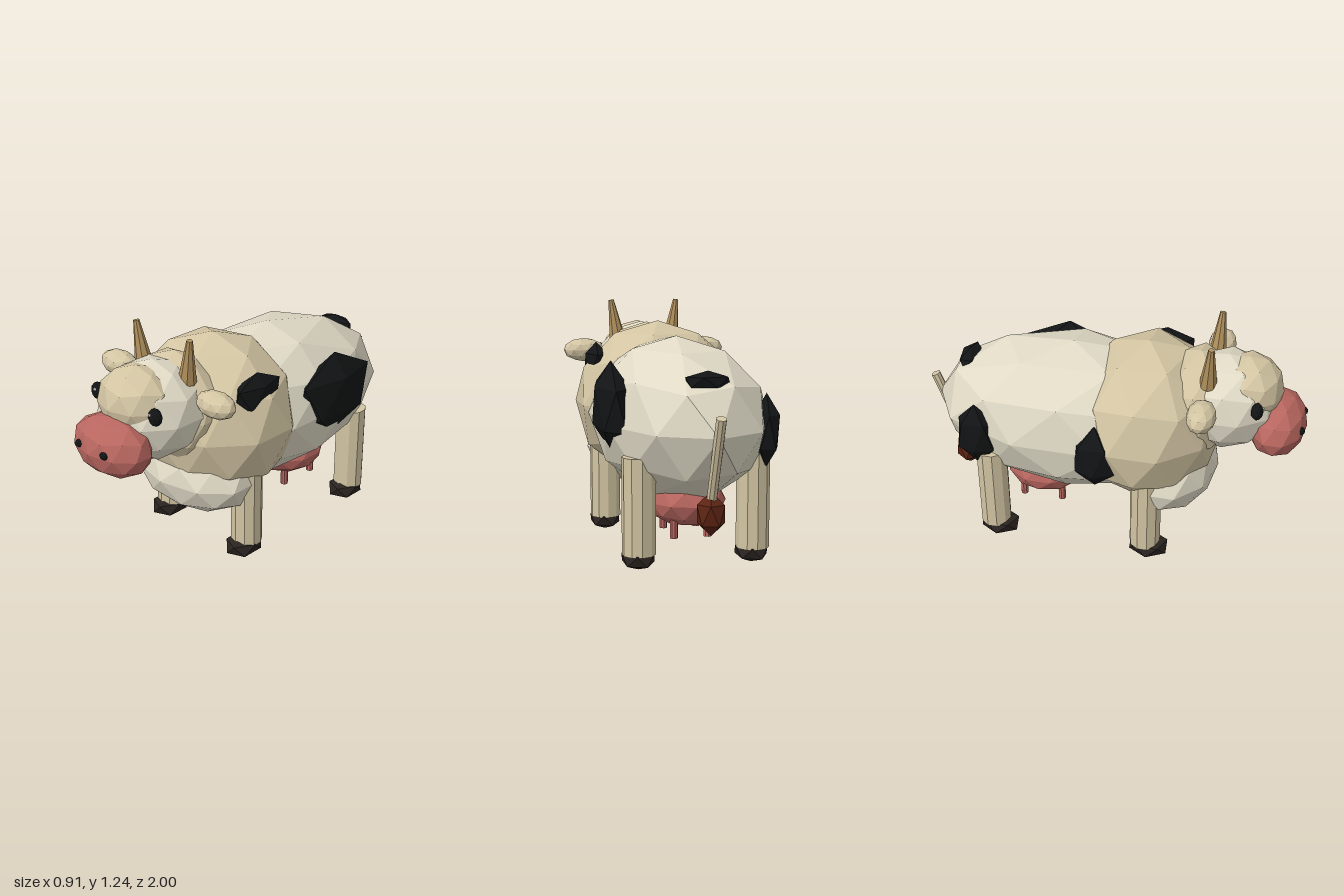
import * as THREE from 'three';

const mat = (color) => new THREE.MeshStandardMaterial({ color, flatShading: true });
const M = {
  cream: mat(0xdfd9c5), tan: mat(0xd3c5a3), pink: mat(0xb8665f), black: mat(0x121415),
  hoof: mat(0x2a2320), horn: mat(0xb0905c), brown: mat(0x5c2413), white: mat(0xe8e2d0),
};

export function createModel() {
  const cow = new THREE.Group();
  cow.name = 'cow';

  // Low-poly ellipsoid with its poles on the y axis
  const blob = (name, material, pos, radii, detail = 1) => {
    const g = new THREE.IcosahedronGeometry(1, detail);
    g.rotateX(-Math.atan((1 + Math.sqrt(5)) / 2)).rotateY(Math.PI / 2);
    g.scale(...radii);
    g.computeVertexNormals();
    const mesh = new THREE.Mesh(g, material);
    mesh.name = name;
    mesh.position.set(...pos);
    cow.add(mesh);
    return mesh;
  };

  // Straight or tapered rod from point a to point b
  const rod = (name, material, a, b, ra, rb, sides) => {
    const from = new THREE.Vector3(...a), to = new THREE.Vector3(...b);
    const dir = to.clone().sub(from);
    const mesh = new THREE.Mesh(new THREE.CylinderGeometry(rb, ra, dir.length(), sides), material);
    mesh.name = name;
    mesh.position.copy(from).add(to).multiplyScalar(0.5);
    mesh.quaternion.setFromUnitVectors(new THREE.Vector3(0, 1, 0), dir.normalize());
    cow.add(mesh);
  };

  // Torso and neck
  blob('hindBody', M.cream, [0, 0.68, -0.2], [0.43, 0.405, 0.75]);
  blob('chest', M.tan, [0, 0.71, 0.19], [0.45, 0.43, 0.4]);
  blob('brisket', M.cream, [0, 0.44, 0.32], [0.37, 0.215, 0.25]);
  blob('neck', M.tan, [0, 0.83, 0.45], [0.28, 0.29, 0.2]);

  // Head
  blob('head', M.cream, [0, 0.865, 0.59], [0.27, 0.25, 0.27]);
  blob('forehead', M.tan, [0, 0.94, 0.69], [0.205, 0.175, 0.18]);
  blob('muzzle', M.pink, [0, 0.76, 0.85], [0.235, 0.15, 0.15]);

  // Udder
  blob('udder', M.pink, [0, 0.29, -0.37], [0.2, 0.133, 0.22]);

  // Parts mirrored on both sides
  for (const [s, side] of [[1, 'left'], [-1, 'right']]) {
    blob(side + 'Nostril', M.black, [s * 0.09, 0.78, 0.975], [0.023, 0.02, 0.02]);
    blob(side + 'Eye', M.black, [s * 0.206, 0.94, 0.76], [0.038, 0.045, 0.03]);
    blob(side + 'EyeGlint', M.white, [s * 0.197, 0.957, 0.786], [0.008, 0.008, 0.008]);
    blob(side + 'Ear', M.tan, [s * 0.345, 0.965, 0.51], [0.115, 0.065, 0.073]);
    blob(side + 'InnerEar', M.pink, [s * 0.37, 0.972, 0.537], [0.06, 0.025, 0.035]);
    rod(side + 'Horn', M.horn, [s * 0.153, 1.02, 0.51], [s * 0.187, 1.24, 0.52], 0.046, 0.015, 8);

    for (const [z, end] of [[0.24, 'Front'], [-0.58, 'Hind']]) {
      rod(side + end + 'Leg', M.tan, [s * 0.283, 0.08, z], [s * 0.283, 0.55, z], 0.081, 0.081, 10);
      blob(side + end + 'Hoof', M.hoof, [s * 0.283, 0.06, z + 0.02], [0.09, 0.06, 0.115], 0);
    }
    for (const z of [-0.265, -0.48])
      rod(side + 'Teat', M.pink, [s * 0.085, 0.12, z], [s * 0.085, 0.28, z], 0.02, 0.02, 8);
  }

  // Tail and tuft
  rod('tail', M.tan, [0, 0.38, -0.83], [0, 0.775, -0.972], 0.025, 0.025, 8);
  blob('tailTuft', M.brown, [0, 0.315, -0.82], [0.075, 0.105, 0.078], 0);

  // Hide patches, flattened and sunk into the body
  const patches = [
    [[0.36, 0.755, -0.32], [0.09, 0.225, 0.295]],
    [[0.33, 0.92, 0.22], [0.065, 0.11, 0.165]],
    [[-0.36, 0.65, -0.01], [0.09, 0.18, 0.13]],
    [[-0.325, 0.66, -0.64], [0.065, 0.18, 0.11]],
    [[0, 0.915, -0.76], [0.12, 0.05, 0.06]],
  ];
  patches.forEach(([pos, radii], i) => blob('hidePatch' + (i + 1), M.black, pos, radii, 0));

  return cow;
}
